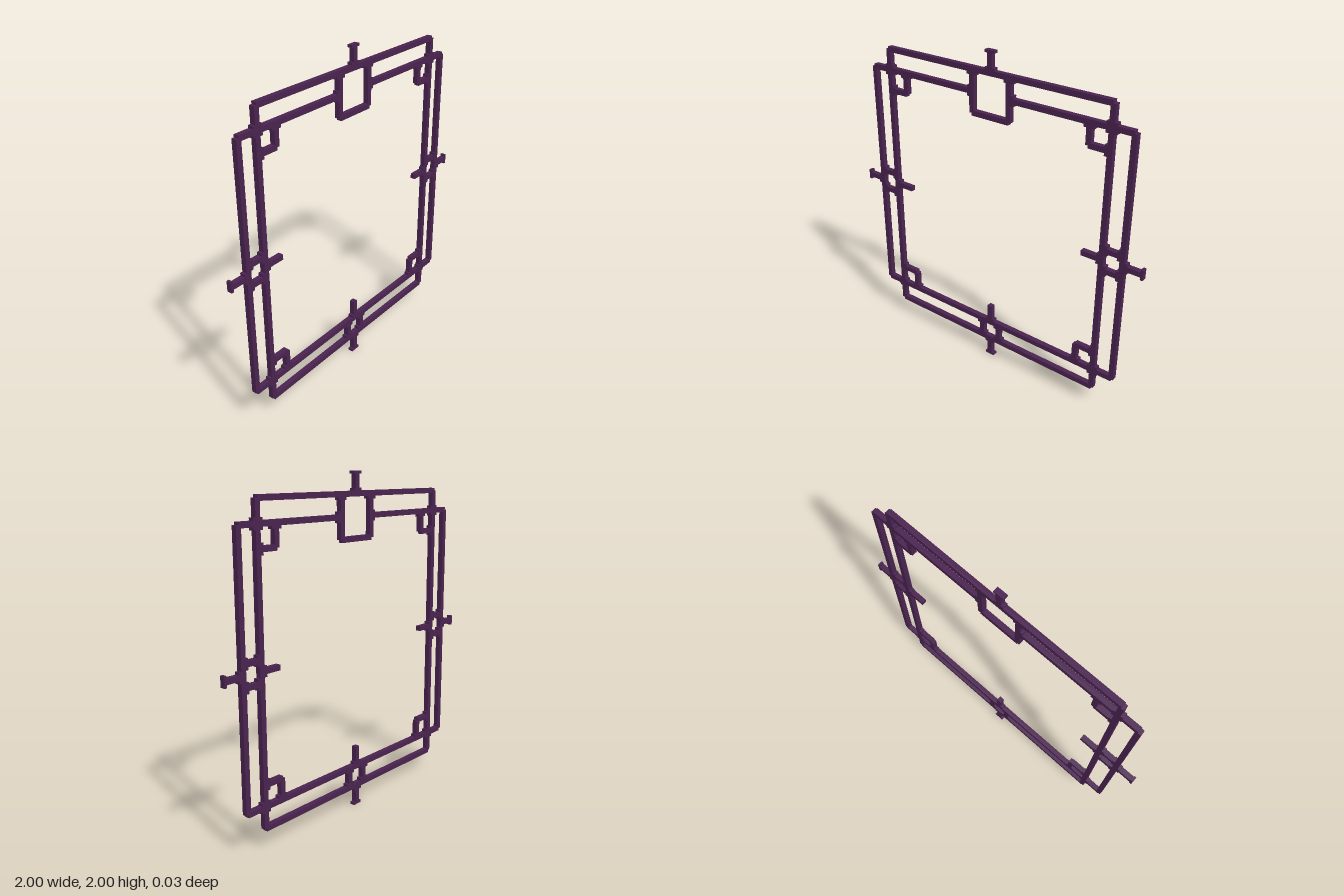
import * as THREE from 'three';

const U = 1 / 64; // one grid step; bars are two steps thick

export function createModel() {
  const model = new THREE.Group();
  model.name = 'ornamentalFrame';
  const purple = new THREE.MeshStandardMaterial({ color: 0x4a2350 });
  purple.name = 'darkPurple';

  // Block between two corners, in grid steps
  function block(parent, name, x0, y0, x1, y1) {
    const geo = new THREE.BoxGeometry(Math.abs(x1 - x0) * U, Math.abs(y1 - y0) * U, 2 * U);
    const mesh = new THREE.Mesh(geo, purple);
    mesh.position.set((x0 + x1) / 2 * U, (y0 + y1) / 2 * U, 0);
    mesh.name = name;
    parent.add(mesh);
  }

  // Bar along a centre line; two bars meeting at a corner leave its outer step clipped
  function bar(parent, name, x0, y0, x1, y1) {
    if (y0 === y1) block(parent, name, x0, y0 - 1, x1, y0 + 1);
    else block(parent, name, x0 - 1, y0, x0 + 1, y1);
  }

  // Small thickening where a bar leaves a joint in direction (dx, dy)
  function collar(parent, x, y, dx, dy) {
    if (dx) block(parent, 'collar', x + dx, y - 2, x + 2 * dx, y + 2);
    else block(parent, 'collar', x - 2, y + dy, x + 2, y + 2 * dy);
  }

  // Straight spur with a collar at its root and an optional flat cap
  function spur(parent, x, y, dx, dy, capped) {
    bar(parent, 'spur', x, y, x + 8 * dx, y + 8 * dy);
    collar(parent, x, y, dx, dy);
    if (!capped) return;
    if (dx) block(parent, 'spurCap', x + 7 * dx, y - 2, x + 8 * dx, y + 2);
    else block(parent, 'spurCap', x - 2, y + 7 * dy, x + 2, y + 8 * dy);
  }

  function part(name) {
    const g = new THREE.Group();
    g.name = name;
    model.add(g);
    return g;
  }

  // Two interlocking frames; the wide one is open at the top centre
  const tall = part('tallFrame');
  bar(tall, 'topRail', -48, 120, 48, 120);
  bar(tall, 'bottomRail', -48, 8, 48, 8);
  const wide = part('wideFrame');
  bar(wide, 'bottomRail', -56, 16, 56, 16);
  for (const s of [-1, 1]) {
    bar(tall, 'sideRail', s * 48, 8, s * 48, 120);
    bar(wide, 'sideRail', s * 56, 16, s * 56, 112);
    bar(wide, 'topRail', s * 56, 112, s * 8, 112);
  }

  // Square at the top centre
  const square = part('topSquare');
  bar(square, 'squareBottom', -8, 104, 8, 104);
  for (const s of [-1, 1]) {
    bar(square, 'squareSide', s * 8, 104, s * 8, 120);
    collar(square, s * 8, 120, 0, -1);
    collar(square, s * 8, 112, s, 0);
  }
  spur(square, 0, 120, 0, 1, true);

  // Corner crossings, each with a small inner square
  for (const s of [-1, 1]) for (const t of [-1, 1]) {
    const corner = part('cornerSquare');
    const x = s * 48, y = 64 + t * 48;
    for (const d of [-1, 1]) {
      collar(corner, x, y, d, 0);
      collar(corner, x, y, 0, d);
    }
    bar(corner, 'cornerUpright', x - s * 8, y, x - s * 8, y - t * 8);
    bar(corner, 'cornerRail', x, y - t * 8, x - s * 8, y - t * 8);
    collar(corner, x - s * 8, y, 0, -t);
    collar(corner, x, y - t * 8, -s, 0);
  }

  // Side links between the frames, with spurs in and out
  for (const s of [-1, 1]) {
    const link = part('sideLink');
    for (const y of [60, 68]) {
      bar(link, 'linkBar', s * 48, y, s * 56, y);
      collar(link, s * 48, y, s, 0);
      collar(link, s * 56, y, -s, 0);
    }
    spur(link, s * 48, 64, -s, 0, false);
    spur(link, s * 56, 64, s, 0, true);
  }

  // Bottom link with spurs up and down
  const bottom = part('bottomLink');
  for (const x of [-4, 4]) {
    bar(bottom, 'linkBar', x, 8, x, 16);
    collar(bottom, x, 8, 0, 1);
    collar(bottom, x, 16, 0, -1);
  }
  spur(bottom, 0, 16, 0, 1, false);
  spur(bottom, 0, 8, 0, -1, true);

  return model;
}
